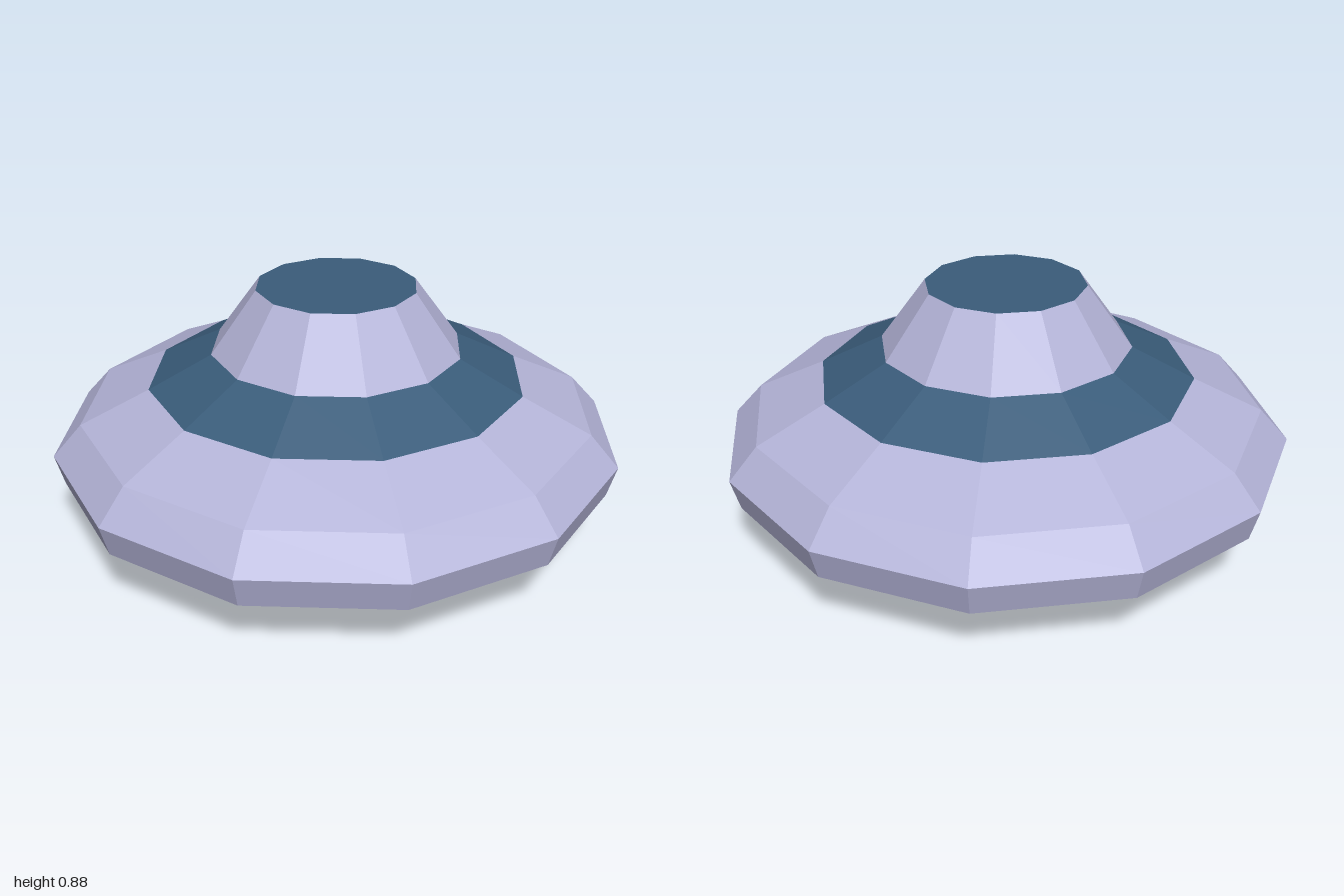
import * as THREE from 'three';

const SIDES = 12;

export function createModel() {
  const model = new THREE.Group();
  model.name = 'saucer';
  const hull = new THREE.MeshStandardMaterial({ color: 0xb4b4d8, flatShading: true });
  const trim = new THREE.MeshStandardMaterial({ color: 0x3a5c7a, flatShading: true });

  // Faceted ring swept from a bottom-to-top profile of [radius, height]
  const band = (name, material, profile) => {
    const points = profile.map(([r, y]) => new THREE.Vector2(r, y));
    const mesh = new THREE.Mesh(new THREE.LatheGeometry(points, SIDES), material);
    mesh.name = name;
    model.add(mesh);
  };

  // Flat disc closing the body, facing up or down
  const cap = (name, radius, y, up) => {
    const geometry = new THREE.CircleGeometry(radius, SIDES);
    geometry.rotateX(up ? -Math.PI / 2 : Math.PI / 2);
    geometry.translate(0, y, 0);
    const mesh = new THREE.Mesh(geometry, trim);
    mesh.name = name;
    model.add(mesh);
  };

  // Underside
  cap('bottomCap', 0.51, 0, false);
  band('lowerBand', trim, [[0.51, 0], [0.81, 0.11]]);

  // Wide disc with its rim
  band('disc', hull, [[0.81, 0.11], [0.97, 0.22], [1, 0.33], [0.9, 0.44], [0.66, 0.55]]);

  // Dark ring and raised turret
  band('upperBand', trim, [[0.66, 0.55], [0.44, 0.66]]);
  band('turret', hull, [[0.44, 0.66], [0.28, 0.88]]);
  cap('topCap', 0.28, 0.88, true);

  return model;
}
